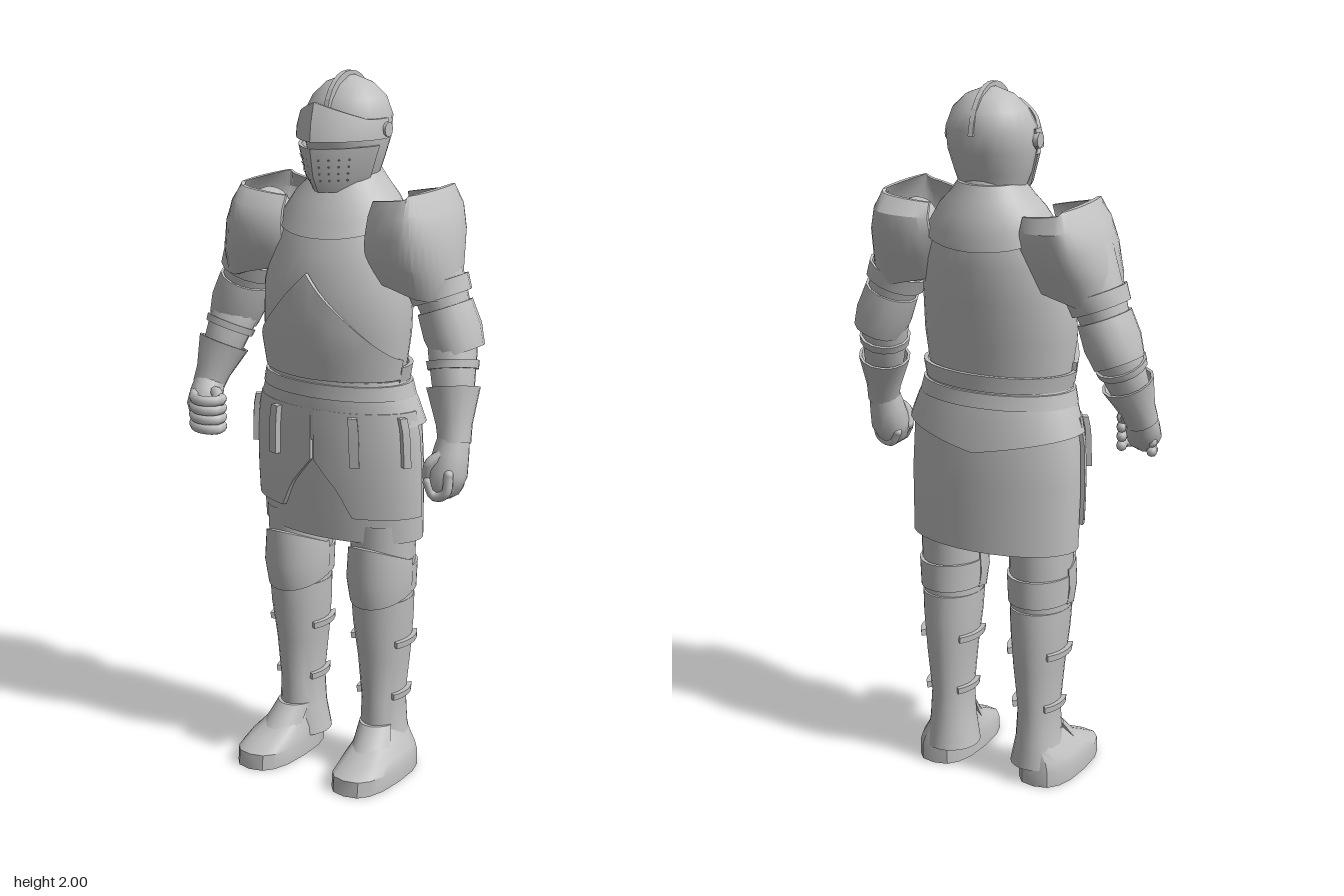
import * as THREE from 'three';
import { toCreasedNormals } from 'three/addons/utils/BufferGeometryUtils.js';

const steel = new THREE.MeshStandardMaterial({ color: 0xc0c0c0, side: THREE.DoubleSide });
steel.name = 'steel';
const holeGrey = new THREE.MeshStandardMaterial({ color: 0x606060, side: THREE.DoubleSide });
holeGrey.name = 'hole grey';

const V = (x, y, z) => new THREE.Vector3(x, y, z);
const PI = Math.PI;

// Point on a stack of oval rows [y, halfWidth, zFront, zBack, centreX]; angle 0 is the front, +90 degrees is +x
function onRows(rows, y, th, off = 0, pow = 1) {
  let j = 0;
  while (j < rows.length - 2 && y > rows[j + 1][0]) j++;
  const a = rows[j], b = rows[j + 1];
  const k = THREE.MathUtils.clamp((y - a[0]) / (b[0] - a[0]), 0, 1);
  const m = i => THREE.MathUtils.lerp(a[i] ?? 0, b[i] ?? 0, k);
  const p = t => Math.sign(t) * Math.abs(t) ** pow;
  const rz = (m(2) - m(3)) / 2;
  return V(m(4) + (m(1) + off) * p(Math.sin(th)), y, (m(2) + m(3)) / 2 + (rz + off) * p(Math.cos(th)));
}

// Plate with thickness from f(angle, v, offset), v = 0..1 upwards
function skin(name, f, { a0 = -PI, a1 = PI, n = 24, vs = [0, 0.25, 0.5, 0.75, 1], t = 0, cap = false, crease = 0.6 } = {}) {
  const pos = [], m = vs.length - 1;
  const quad = (a, b, c, d) => [a, b, c, a, c, d].forEach(p => pos.push(p.x, p.y, p.z));
  const layer = off => vs.map(v => Array.from({ length: n + 1 }, (_, i) => f(a0 + (a1 - a0) * i / n, v, off)));
  const A = layer(0), B = t ? layer(-t) : null;
  for (let i = 0; i < n; i++) {
    for (let j = 0; j < m; j++) {
      quad(A[j][i], A[j][i + 1], A[j + 1][i + 1], A[j + 1][i]);
      if (B) quad(B[j][i + 1], B[j][i], B[j + 1][i], B[j + 1][i + 1]);
    }
    if (B) {
      quad(A[m][i], A[m][i + 1], B[m][i + 1], B[m][i]);
      quad(B[0][i], B[0][i + 1], A[0][i + 1], A[0][i]);
    }
  }
  if (B && a1 - a0 < 6.2) for (let j = 0; j < m; j++) {
    quad(B[j][0], A[j][0], A[j + 1][0], B[j + 1][0]);
    quad(A[j][n], B[j][n], B[j + 1][n], A[j + 1][n]);
  }
  if (cap) [[A[0], -1], [A[m], 1]].forEach(([ring, s]) => {
    const c = V(0, 0, 0);
    ring.slice(0, n).forEach(p => c.addScaledVector(p, 1 / n));
    for (let i = 0; i < n; i++) {
      const e = s > 0 ? [ring[i], ring[i + 1]] : [ring[i + 1], ring[i]];
      [c, ...e].forEach(p => pos.push(p.x, p.y, p.z));
    }
  });
  const g = new THREE.BufferGeometry();
  g.setAttribute('position', new THREE.Float32BufferAttribute(pos, 3));
  const mesh = new THREE.Mesh(toCreasedNormals(g, crease), steel);
  mesh.name = name;
  return mesh;
}

// Plate that follows its rows, optionally bent by warp(point, angle, v)
function shell(name, rows, o = {}) {
  const y0 = rows[0][0], h = rows.at(-1)[0] - y0;
  return skin(name, (th, v, off) => {
    const p = onRows(rows, y0 + v * h, th, off, o.pow);
    if (o.warp) o.warp(p, th, v);
    return p;
  }, { ...o, vs: rows.map(r => (r[0] - y0) / h) });
}

// Limb piece between two points; rows are [fraction from the lower end, radius]
function limb(name, low, high, rows, o = {}) {
  const d = high.clone().sub(low), L = d.length();
  const mesh = shell(name, rows.map(([k, r, q = r]) => [k * L, r, q, -q]), { n: 14, t: 0.008, ...o });
  mesh.position.copy(low);
  mesh.quaternion.setFromUnitVectors(V(0, 1, 0), d.normalize());
  return mesh;
}

function tube(name, pts, r) {
  const mesh = new THREE.Mesh(new THREE.TubeGeometry(new THREE.CatmullRomCurve3(pts), 12, r, 8), steel);
  mesh.name = name;
  const ends = [pts[0], pts.at(-1)].map(p => {
    const b = new THREE.Mesh(new THREE.SphereGeometry(r, 8, 6), steel);
    b.name = name + 'Tip';
    b.position.copy(p);
    return b;
  });
  mesh.add(...ends);
  return mesh;
}

function buildHead() {
  const g = new THREE.Group();
  g.name = 'helmet';
  g.add(shell('skull', [[1.7, 0.085, 0.01, -0.135], [1.76, 0.108, 0.03, -0.15], [1.82, 0.122, 0.045, -0.175], [1.88, 0.125, 0.045, -0.183],
    [1.93, 0.103, 0.02, -0.17], [1.965, 0.066, -0.015, -0.135], [1.985, 0.015, -0.06, -0.09]], { cap: true, crease: 1 }));
  // Comb along the top
  const s = new THREE.Shape();
  s.moveTo(0.045, 1.9);
  s.bezierCurveTo(0.015, 2.035, -0.165, 2.035, -0.19, 1.87);
  s.lineTo(-0.165, 1.87);
  s.bezierCurveTo(-0.14, 1.99, -0.01, 1.99, 0.02, 1.9);
  const comb = new THREE.Mesh(new THREE.ExtrudeGeometry(s, { depth: 0.014, bevelEnabled: false }), steel);
  comb.name = 'comb';
  comb.rotation.y = -PI / 2;
  comb.position.x = 0.007;
  g.add(comb);
  // Pointed visor above the eye slit and perforated guard below it
  const beak = th => 0.05 * Math.max(0, 1 - Math.abs(th) / 1.0);
  g.add(shell('browVisor', [[1.826, 0.134, 0.07, -0.17], [1.86, 0.134, 0.065, -0.17], [1.9, 0.13, 0.05, -0.165]], {
    a0: -1.65, a1: 1.65, t: 0.01, crease: 0.4,
    warp: (p, th, v) => { p.z += beak(th); p.y += v * (0.03 - 0.05 * Math.min(1, Math.abs(th))); }
  }));
  const guard = [[1.685, 0.078, 0.03, -0.12], [1.73, 0.1, 0.055, -0.13], [1.808, 0.122, 0.07, -0.16]];
  g.add(shell('faceGuard', guard, { a0: -1.5, a1: 1.5, t: 0.01, crease: 0.4, warp: (p, th) => { p.z += beak(th); } }));
  for (const sx of [-1, 1]) {
    for (let r = 0; r < 4; r++) for (let c = 0; c < 4; c++) {
      const th = 0.16 + c * 0.2, y = 1.72 + r * 0.019;
      const p = onRows(guard, y, th, 0.002);
      p.z += beak(th);
      const hole = new THREE.Mesh(new THREE.CircleGeometry(0.004, 8), holeGrey);
      hole.name = 'breathHole';
      hole.position.set(sx * p.x, y, p.z);
      hole.rotation.set(0.25, sx * 0.75, 0, 'YXZ');
      g.add(hole);
    }
    const hinge = new THREE.Mesh(new THREE.CylinderGeometry(0.02, 0.02, 0.014, 12), steel);
    hinge.name = 'visorHinge';
    hinge.rotation.z = PI / 2;
    hinge.position.set(sx * 0.132, 1.85, -0.055);
    g.add(hinge);
  }
  return g;
}

function buildBody() {
  const g = new THREE.Group();
  g.name = 'body';
  const torso = [[1.16, 0.205, 0.11, -0.145], [1.3, 0.224, 0.135, -0.165], [1.42, 0.222, 0.14, -0.185], [1.52, 0.205, 0.115, -0.197],
    [1.6, 0.18, 0.085, -0.197], [1.67, 0.135, 0.05, -0.18], [1.72, 0.085, 0.015, -0.155], [1.76, 0.068, -0.005, -0.14]];
  g.add(shell('cuirass', torso, { n: 32, crease: 0.9 }));
  g.add(skin('lowerBreastplate', (th, v, off) => {
    const top = 1.475 - 0.24 * Math.min(1, Math.abs(Math.sin(th)));
    const p = onRows(torso, 1.18 + v * (top - 1.18), th, 0.012 + off);
    p.z += 0.008 * Math.max(0, 1 - Math.abs(th));
    return p;
  }, { a0: -1.45, a1: 1.45, n: 32, t: 0.014 }));
  // Collar plate dipping at chest and back
  g.add(skin('gorget', (th, v, off) => {
    const low = 1.62 - 0.055 * Math.abs(Math.cos(th));
    return onRows(torso, low + v * (1.735 - low), th, 0.012 + off);
  }, { n: 32, t: 0.014 }));
  g.add(shell('waistRim', [[1.17, 0.218, 0.12, -0.165], [1.215, 0.228, 0.13, -0.168]], { a0: 1.4, a1: 2 * PI - 1.4, n: 24, t: 0.012 }));
  g.add(shell('fauld', [[1.005, 0.262, 0.112, -0.19], [1.09, 0.24, 0.115, -0.178], [1.13, 0.226, 0.116, -0.168], [1.175, 0.214, 0.114, -0.158]], {
    n: 32, t: 0.012, warp: (p, th, v) => { p.y += (1 - v) * (0.05 * Math.abs(Math.sin(th)) - 0.005); }
  }));
  g.add(shell('belt', [[1.125, 0.235, 0.123, -0.176], [1.165, 0.226, 0.121, -0.168]], { n: 32, t: 0.014 }));
  const skirt = [[0.71, 0.252, 0.085, -0.185], [0.9, 0.256, 0.1, -0.185], [1.04, 0.25, 0.102, -0.18], [1.12, 0.23, 0.1, -0.17]];
  g.add(shell('skirt', skirt, { n: 32, t: 0.012 }));
  // Hanging thigh plates with an arch between them, and their straps
  for (const sx of [-1, 1]) {
    g.add(skin('tasset', (th, v, off) => {
      const x = 0.26 * Math.sin(th);
      const low = x < 0.075 ? 0.95 - x * 1.2 : Math.max(0.785, 0.86 - (x - 0.075) * 2);
      return onRows(skirt, low + v * (1.09 - low), sx * th, 0.014 + off);
    }, { a0: 0.02, a1: 1.5, n: 24, t: 0.012 }));
    for (const th of [0.5, 1.15]) g.add(skin('tassetStrap', (a, v, off) => onRows(skirt, 0.94 + v * 0.14, a, 0.03 + off),
      { a0: sx * th - 0.055, a1: sx * th + 0.055, n: 2, t: 0.016 }));
  }
  return g;
}

function buildLeg(side) {
  const g = new THREE.Group();
  g.name = side > 0 ? 'leftLeg' : 'rightLeg';
  const c = 0.14;
  g.add(shell('thigh', [[0.48, 0.082, 0.05, -0.13, c], [0.62, 0.088, 0.06, -0.135, c], [0.76, 0.092, 0.065, -0.14, c]]));
  const greave = [[0.05, 0.079, 0.035, -0.137, c], [0.13, 0.063, 0.033, -0.127, c], [0.22, 0.057, 0.033, -0.125, c],
    [0.35, 0.07, 0.042, -0.137, c], [0.46, 0.081, 0.06, -0.142, c], [0.53, 0.085, 0.065, -0.14, c]];
  g.add(shell('greave', greave, { t: 0.01, crease: 0.9 }));
  g.add(shell('kneeCop', [[0.545, 0.088, 0.07, -0.14, c], [0.59, 0.094, 0.084, -0.145, c], [0.65, 0.092, 0.076, -0.145, c]], {
    a0: -1.7, a1: 1.7, t: 0.012, warp: (p, th, v) => { p.y += (v - 0.4) * 0.075 * Math.max(0, Math.cos(th)); }
  }));
  g.add(shell('kneeBand', [[0.55, 0.088, 0.068, -0.148, c], [0.63, 0.092, 0.07, -0.15, c]], { a0: 1.6, a1: 2 * PI - 1.6, t: 0.01 }));
  // Calf straps
  for (const y of [0.235, 0.4]) for (const th of [1.7, -1.7]) {
    g.add(skin('calfStrap', (a, v, off) => onRows(greave, y - 0.009 + v * 0.018, a, 0.014 + off), { a0: th - 0.65, a1: th + 0.65, n: 8, t: 0.016 }));
  }
  // Armoured shoe
  g.add(shell('shoe', [[0, 0.083, 0.205, -0.13, 0.163], [0.045, 0.083, 0.2, -0.13, 0.163], [0.07, 0.076, 0.15, -0.125, 0.16],
    [0.1, 0.062, 0.085, -0.12, 0.152], [0.135, 0.05, 0.04, -0.11, 0.145]], { n: 16, pow: 0.75, cap: true }));
  g.add(shell('instepPlate', [[0.07, 0.07, 0.125, -0.1, 0.157], [0.11, 0.062, 0.085, -0.1, 0.15], [0.15, 0.056, 0.046, -0.1, 0.142]],
    { a0: -1.2, a1: 1.2, n: 12, t: 0.01 }));
  g.scale.x = side;
  return g;
}

function buildArm(side) {
  const g = new THREE.Group();
  g.name = side > 0 ? 'leftArm' : 'rightArm';
  const shoulder = V(0.235, 1.63, -0.045), elbow = V(0.35, 1.33, -0.045);
  const wrist = side > 0 ? V(0.405, 1.06, 0.03) : V(0.4, 1.1, 0.04);
  g.add(limb('upperArm', elbow, shoulder, [[0, 0.062], [0.3, 0.073], [0.75, 0.085], [0.95, 0.072], [1.06, 0.03]], { t: 0, cap: true, crease: 1 }));
  g.add(limb('upperArmLame', elbow, shoulder, [[0.28, 0.084], [0.42, 0.088]]));
  g.add(limb('elbowCop', elbow, shoulder, [[-0.2, 0.07, 0.078], [-0.02, 0.079, 0.088], [0.2, 0.076, 0.082]]));
  g.add(limb('forearm', wrist, elbow, [[0, 0.042], [0.45, 0.058], [0.8, 0.068], [1, 0.06]], { t: 0 }));
  g.add(limb('forearmBand', wrist, elbow, [[0.62, 0.07], [0.7, 0.073]]));
  g.add(limb('gauntletCuff', wrist, elbow, [[-0.08, 0.045], [0.1, 0.05], [0.45, 0.074]]));
  // Shoulder plate, open towards the neck
  const up = side > 0 ? 0.012 : 0, out = side > 0 ? 0.02 : 0;
  const rows = [[1.42, 0.122, 0.06, -0.13, 0.25], [1.5, 0.112, 0.098, -0.165, 0.25], [1.58, 0.092, 0.112, -0.2, 0.25],
    [1.64, 0.065, 0.105, -0.205, 0.25], [1.69, 0.022, 0.08, -0.18, 0.25]];
  g.add(shell('pauldron', rows, {
    a0: -0.75, a1: PI + 0.75, n: 28, t: 0.014, crease: 0.5,
    warp: (p, th, v) => {
      const s = Math.sin(th);
      if (s < 0) p.x = 0.25 + s * 0.175;
      p.x += out * v;
      p.y += up * v + (s < 0.4 ? (0.4 - s) * 0.04 * (1 - 1.7 * v) : 0);
    }
  }));
  if (side > 0) {
    // Loosely closed hand hanging down
    g.add(limb('hand', V(0.4, 0.905, 0.075), wrist, [[-0.05, 0.02], [0.05, 0.042], [0.35, 0.056], [0.7, 0.05], [1, 0.043]], { t: 0, cap: true, crease: 1 }));
    for (let i = 0; i < 4; i++) {
      const z = 0.035 + i * 0.022;
      g.add(tube('finger', [V(0.43, 0.97, z), V(0.425, 0.92, z + 0.005), V(0.39, 0.905, z + 0.005), V(0.365, 0.94, z)], 0.014));
    }
    g.add(tube('thumb', [V(0.4, 1.02, 0.075), V(0.37, 0.99, 0.1), V(0.36, 0.95, 0.09)], 0.016));
  } else {
    // Hand gripping with fingers hooked inwards
    g.add(limb('hand', V(0.39, 1.01, 0.1), wrist, [[-0.1, 0.03], [0.2, 0.048], [0.6, 0.048], [1, 0.043]], { t: 0, cap: true, crease: 1 }));
    for (let i = 0; i < 4; i++) {
      const y = 0.985 + i * 0.027, w = i * 0.004;
      g.add(tube('finger', [V(0.425, y + 0.01, 0.065), V(0.4, y, 0.12), V(0.35, y, 0.15), V(0.312, y, 0.135 - w), V(0.318, y, 0.1)], 0.0155));
    }
    g.add(tube('thumb', [V(0.39, 1.07, 0.06), V(0.345, 1.075, 0.085), V(0.32, 1.06, 0.11)], 0.017));
  }
  g.scale.x = side;
  return g;
}

export function createModel() {
  const model = new THREE.Group();
  model.name = 'suitOfArmour';
  model.add(buildHead(), buildBody());
  for (const side of [1, -1]) model.add(buildLeg(side), buildArm(side));
  return model;
}
